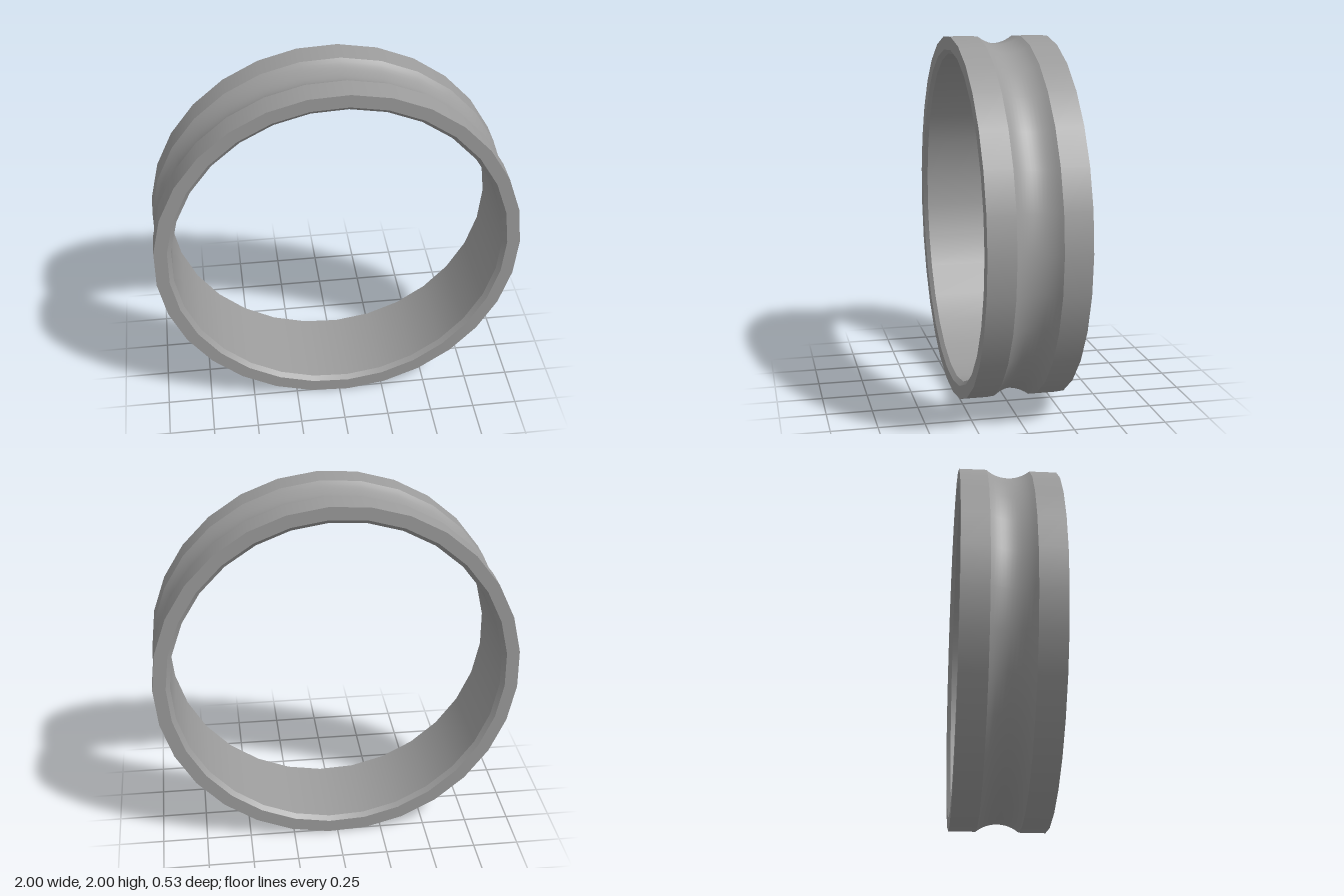
import * as THREE from 'three';

const SIDES = 29;
const OUTER = 1.0015, RIM = 0.93, BORE = 0.907;   // radii
const HALF = 0.266, CHAMFER = 0.022;              // half width, bevel depth
const GROOVE_HALF = 0.118, GROOVE_DEPTH = 0.042;

export function createModel() {
  const model = new THREE.Group();
  model.name = 'groovedRing';
  const grey = new THREE.MeshStandardMaterial({ color: 0x9c9c9c });
  grey.name = 'grey';

  // Each band is lathed separately so that edges between bands stay sharp.
  function band(name, profile) {
    const points = profile.map(([r, z]) => new THREE.Vector2(r, z));
    const geometry = new THREE.LatheGeometry(points, SIDES, Math.PI / 2);
    geometry.rotateX(Math.PI / 2);
    const mesh = new THREE.Mesh(geometry, grey);
    mesh.name = name;
    model.add(mesh);
  }

  // Concave circular groove around the middle
  const radius = (GROOVE_HALF ** 2 + GROOVE_DEPTH ** 2) / (2 * GROOVE_DEPTH);
  const sweep = Math.asin(GROOVE_HALF / radius);
  const groove = [];
  for (let i = 0; i <= 12; i++) {
    const a = sweep * (i / 6 - 1);
    groove.push([OUTER - GROOVE_DEPTH + radius * (1 - Math.cos(a)), radius * Math.sin(a)]);
  }
  band('groove', groove);

  // Flange, flat rim and inner bevel, mirrored front and back
  for (const s of [1, -1]) {
    const side = s > 0 ? 'front' : 'back';
    const mirrored = (a, b) => (s > 0 ? [a, b] : [[b[0], -b[1]], [a[0], -a[1]]]);
    band(side + 'Flange', mirrored([OUTER, GROOVE_HALF], [OUTER, HALF]));
    band(side + 'Rim', mirrored([OUTER, HALF], [RIM, HALF]));
    band(side + 'Bevel', mirrored([RIM, HALF], [BORE, HALF - CHAMFER]));
  }

  // Inner wall
  band('bore', [[BORE, HALF - CHAMFER], [BORE, CHAMFER - HALF]]);

  // The odd number of sides leaves the ring slightly off centre in x
  const shift = -OUTER * (1 - Math.cos(Math.PI / SIDES)) / 2;
  model.position.set(shift, 1, 0);
  return model;
}
